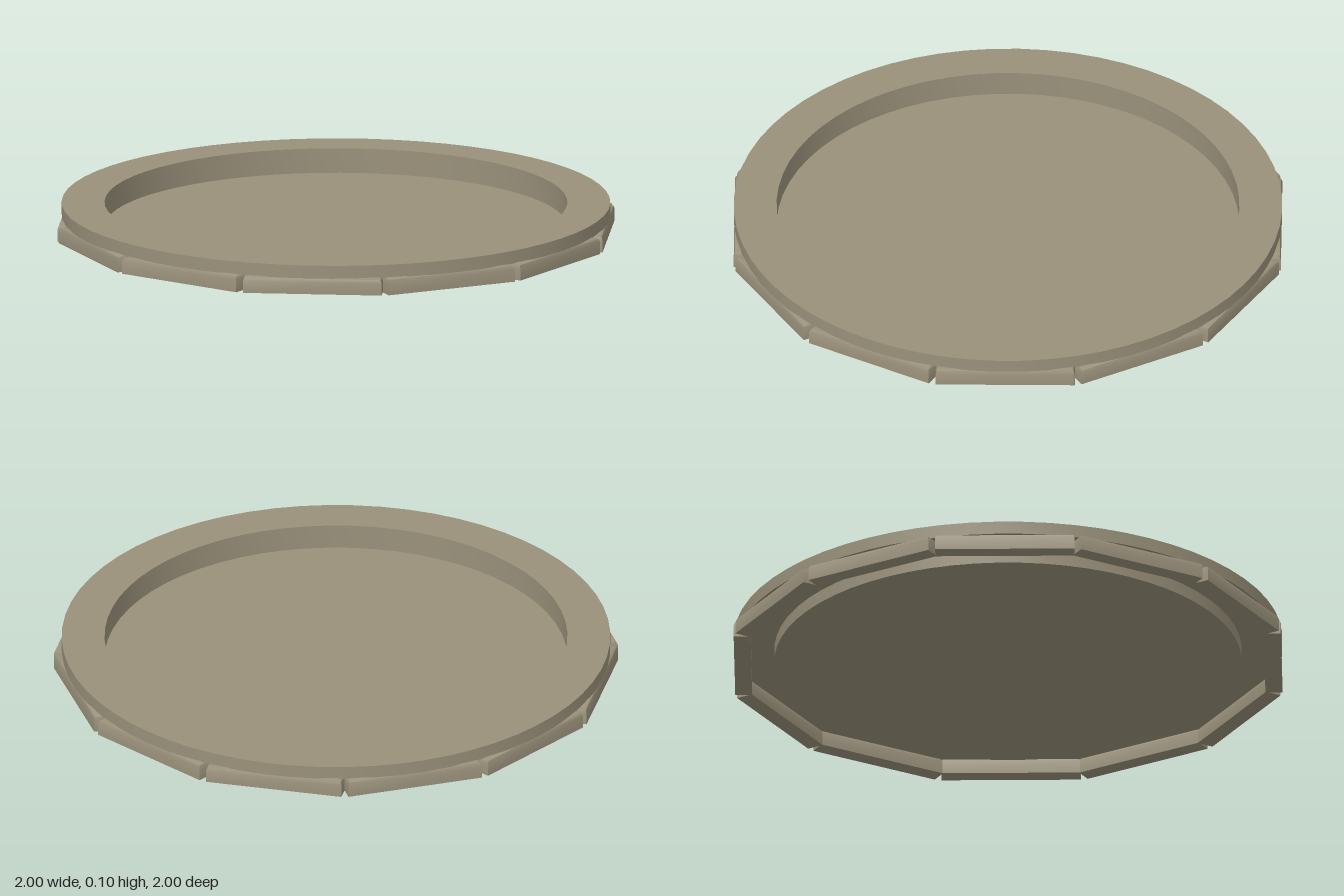
import * as THREE from 'three';
import { toCreasedNormals } from 'three/addons/utils/BufferGeometryUtils.js';

const stone = new THREE.MeshStandardMaterial({ color: 0x9a917b });
stone.name = 'warm grey stone';

function add(group, name, geometry) {
  const mesh = new THREE.Mesh(geometry, stone);
  mesh.name = name;
  group.add(mesh);
  return mesh;
}

// Straight edging block whose top edges are rounded over
function blockGeometry(length, height, depth) {
  const levels = [[0, 0], [0.044, 0], [0.055, 0.004], [height, 0.014]]; // height, inset
  const geo = new THREE.BoxGeometry(length, 3, depth, 1, 3, 1);
  const p = geo.attributes.position;
  for (let i = 0; i < p.count; i++) {
    const [y, inset] = levels[Math.round(p.getY(i) + 1.5)];
    p.setXYZ(i,
      p.getX(i) - Math.sign(p.getX(i)) * inset,
      y,
      p.getZ(i) - Math.sign(p.getZ(i)) * inset);
  }
  return toCreasedNormals(geo, 0.7);
}

export function createModel() {
  const model = new THREE.Group();
  model.name = 'roundBasin';

  // Flat rim with a thin inner wall reaching down to the floor
  const profile = [
    [0.82, 0.012], [0.828, 0.012], [0.828, 0.058], [0.972, 0.058],
    [0.972, 0.105], [0.82, 0.105], [0.82, 0.012],
  ].map(([r, y]) => new THREE.Vector2(r, y));
  add(model, 'rim', toCreasedNormals(new THREE.LatheGeometry(profile, 64), 0.6));

  // Thin sunken floor
  const floor = add(model, 'floor', new THREE.CylinderGeometry(0.82, 0.82, 0.004, 64));
  floor.position.y = 0.014;

  // Twelve straight blocks around the foot, with narrow gaps between them
  const blocks = new THREE.Group();
  blocks.name = 'edgingBlocks';
  const outer = 0.969, depth = 0.06;
  const geo = blockGeometry(0.493, 0.06, depth);
  for (let i = 0; i < 12; i++) {
    const angle = (i + 0.5) * Math.PI / 6;
    const block = add(blocks, 'edgingBlock', geo);
    const r = outer - depth / 2;
    block.position.set(Math.sin(angle) * r, 0, Math.cos(angle) * r);
    block.rotation.y = angle;
  }
  model.add(blocks);
  return model;
}
